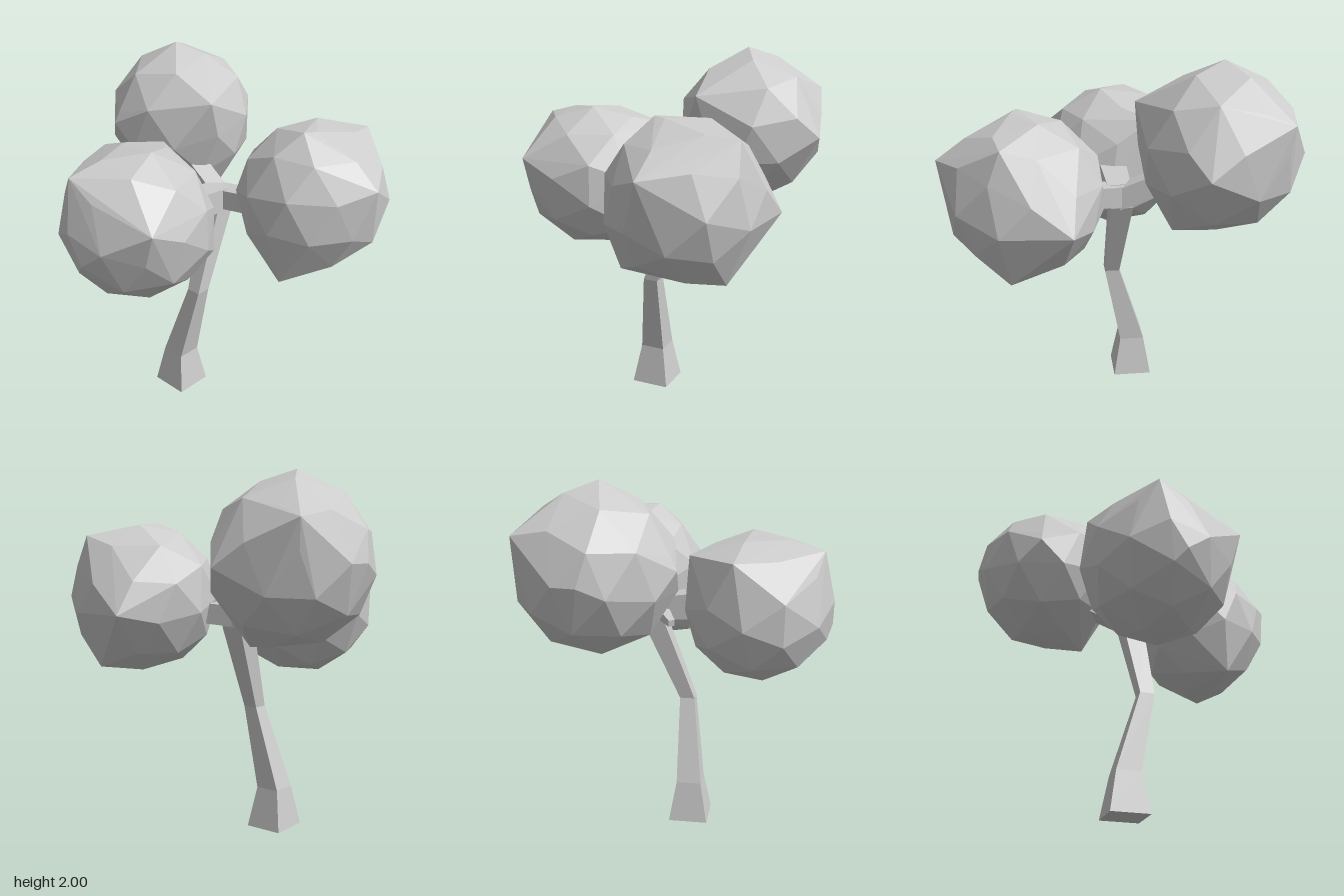
import * as THREE from 'three';
import { ConvexGeometry } from 'three/addons/geometries/ConvexGeometry.js';

const material = new THREE.MeshStandardMaterial({ color: 0xcccccc, flatShading: true });

function addMesh(parent, name, geometry) {
  const mesh = new THREE.Mesh(geometry, material);
  mesh.name = name;
  parent.add(mesh);
  return mesh;
}

// Square horizontal sections [x, y, z, half width] joined from bottom to top
function squareLoft(sections) {
  const geometry = new THREE.CylinderGeometry(1, 1, 1, 4, sections.length - 1);
  const pos = geometry.attributes.position;
  const top = sections.length - 1;
  for (let i = 0; i < pos.count; i++) {
    const [x, y, z, h] = sections[Math.round((pos.getY(i) + 0.5) * top)];
    const px = pos.getX(i), pz = pos.getZ(i);
    // turn the diamond section into an axis-aligned square
    pos.setXYZ(i, x + (px + pz) * h, y, z + (pz - px) * h);
  }
  geometry.computeVertexNormals();
  return geometry;
}

// Four-sided tapered limb between two points
function addLimb(parent, name, from, to, r0, r1) {
  const a = new THREE.Vector3(...from), b = new THREE.Vector3(...to);
  const length = a.distanceTo(b);
  const geometry = new THREE.CylinderGeometry(r1, r0, length, 4).rotateY(Math.PI / 4);
  geometry.rotateX(Math.PI / 2); // axis along +z, ready for lookAt
  const limb = addMesh(parent, name, geometry);
  limb.position.copy(a).lerp(b, 0.5);
  limb.lookAt(b);
}

// Faceted ball of leaves: a low-poly sphere wrapped together with a few outlying corners
function foliage(center, radius, turn, corners) {
  const ball = new THREE.IcosahedronGeometry(radius, 1)
    .rotateX(turn * 0.6).rotateY(turn).translate(...center);
  const pos = ball.attributes.position;
  const unique = new Map();
  for (let i = 0; i < pos.count; i++) {
    const p = new THREE.Vector3().fromBufferAttribute(pos, i);
    unique.set(p.toArray().map((v) => Math.round(v * 1000)).join(), p);
  }
  const points = [...unique.values(), ...corners.map((c) => new THREE.Vector3(...c))];
  return new ConvexGeometry(points);
}

export function createModel() {
  const tree = new THREE.Group();
  tree.name = 'tree';

  // Bent trunk with a flared foot
  addMesh(tree, 'trunk', squareLoft([
    [-0.04, 0, -0.11, 0.11],
    [-0.04, 0.23, -0.11, 0.07],
    [-0.01, 0.7, 0.01, 0.042],
    [0.18, 1.18, -0.02, 0.062],
    [0.18, 1.3, -0.02, 0.06],
  ]));

  // Branches reaching into each ball of leaves
  const branches = new THREE.Group();
  branches.name = 'branches';
  tree.add(branches);
  addLimb(branches, 'leftBranch', [0.2, 1.24, -0.01], [-0.15, 1.27, 0], 0.09, 0.11);
  addLimb(branches, 'backBranch', [0.18, 1.22, 0], [0.25, 1.38, -0.35], 0.08, 0.08);
  addLimb(branches, 'frontBranch', [0.18, 1.24, -0.04], [0.24, 1.26, 0.25], 0.08, 0.08);
  addLimb(branches, 'twig', [0.14, 1.22, -0.03], [0.05, 1.2, -0.21], 0.05, 0.025);

  // Crown
  const crown = new THREE.Group();
  crown.name = 'crown';
  tree.add(crown);
  addMesh(crown, 'sideFoliage', foliage([-0.41, 1.28, -0.055], 0.418, 0.4, [
    [-0.66, 1.42, 0.34], [-0.76, 1.61, -0.15], [-0.3, 1.58, -0.42],
    [-0.05, 1.58, -0.22], [-0.06, 1.05, 0.18], [-0.82, 1.18, -0.02],
  ]));
  addMesh(crown, 'backFoliage', foliage([0.38, 1.55, -0.51], 0.425, 1.3, [
    [0.72, 1.76, -0.79], [0.83, 1.53, -0.37], [0.2, 1.76, -0.09],
    [0.4, 1.11, -0.27], [0.35, 2.0, -0.52], [-0.05, 1.58, -0.63],
    [0.37, 1.55, -0.935],
  ]));
  addMesh(crown, 'frontFoliage', foliage([0.39, 1.34, 0.49], 0.418, 2.2, [
    [0.33, 1.52, 0.935], [0.71, 1.68, 0.6], [0.82, 1.27, 0.27],
    [0.06, 0.95, 0.55], [0.65, 0.96, 0.58], [0.24, 1.75, 0.52],
  ]));
  return tree;
}
